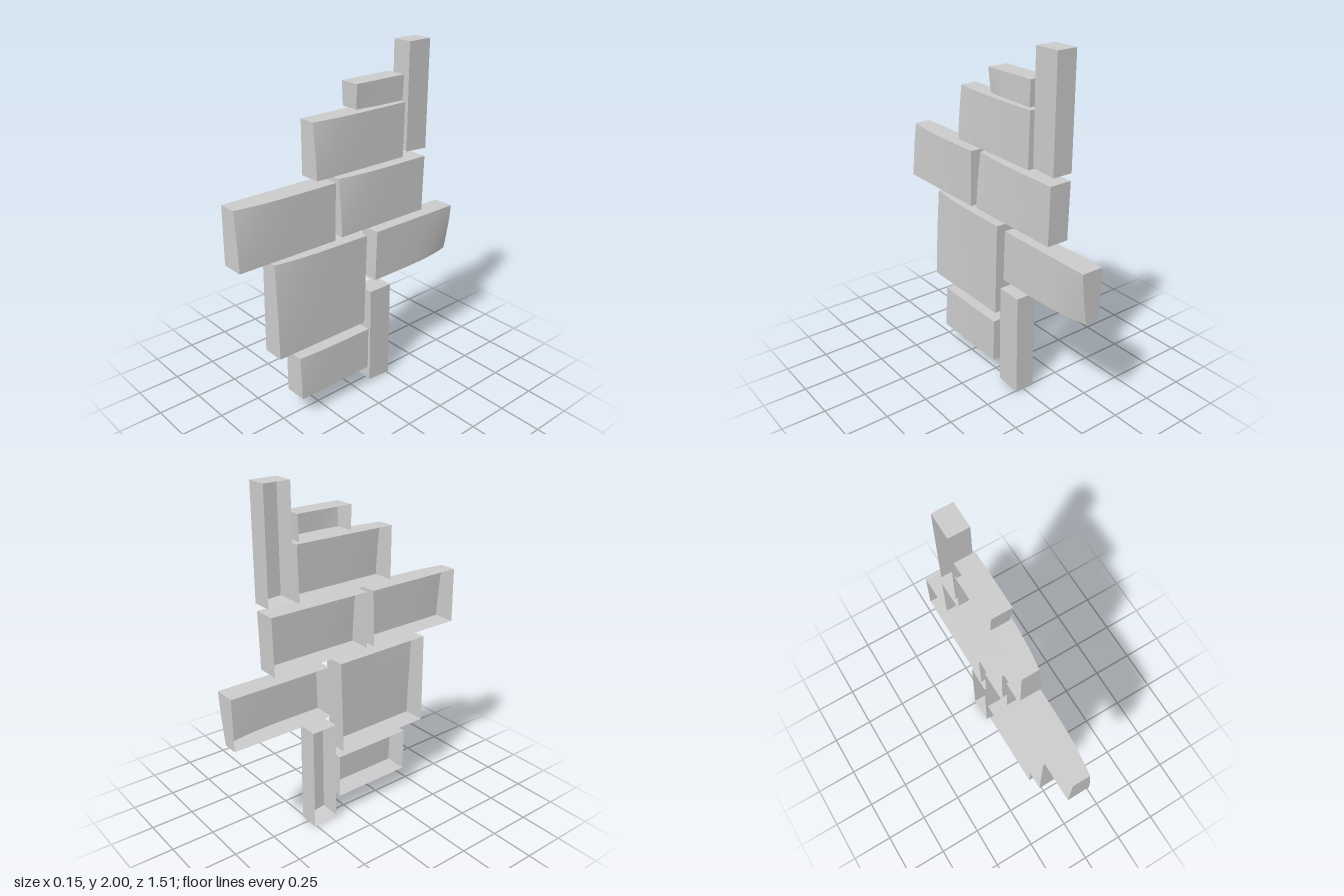
import * as THREE from 'three';

const material = new THREE.MeshStandardMaterial({ color: 0xcccccc, side: THREE.DoubleSide });
const lerp = THREE.MathUtils.lerp;

// Hollow stone slab, open at the back (-x).
// corners: [z, y] of top front, top rear, bottom front, bottom rear (front = +z).
// worn: [corner z side, corner y side, depth] of the worn-down face corner.
function stone(name, corners, back, face, worn) {
  const geo = new THREE.BoxGeometry(1, 1, 1, 1, 8, 10);
  const open = geo.groups[1];
  const index = Array.from(geo.index.array);
  index.splice(open.start, open.count);
  geo.setIndex(index);
  geo.clearGroups();

  const [tf, tr, bf, br] = corners;
  const pos = geo.attributes.position;
  for (let i = 0; i < pos.count; i++) {
    const u = pos.getZ(i) + 0.5, v = pos.getY(i) + 0.5;
    const mix = k => lerp(lerp(br[k], bf[k], u), lerp(tr[k], tf[k], u), v);
    let x = back;
    if (pos.getX(i) > 0) {
      x = face;
      if (worn) {
        const a = worn[0] > 0 ? u : 1 - u, b = worn[1] > 0 ? v : 1 - v;
        x -= worn[2] * a ** 4 * b ** 1.4;
      }
    }
    pos.setXYZ(i, x, mix(1), mix(0));
  }
  geo.computeVertexNormals();
  const mesh = new THREE.Mesh(geo, material);
  mesh.name = name;
  return mesh;
}

export function createModel() {
  const group = new THREE.Group();
  group.name = 'stoneCluster';
  const stones = [
    // upper rows
    ['topUpright', [[-0.367, 2], [-0.517, 2], [-0.365, 1.4], [-0.515, 1.39]], -0.067, 0.05],
    ['topSmallStone', [[0, 1.833], [-0.332, 1.833], [-0.006, 1.7], [-0.325, 1.695]], -0.067, 0.048, [1, -1, 0.01]],
    ['upperStone', [[0.27, 1.683], [-0.34, 1.685], [0.27, 1.383], [-0.332, 1.378]], -0.068, 0.055, [1, 1, 0.028]],
    // middle row
    ['middleFrontStone', [[0.757, 1.348], [0.148, 1.345], [0.76, 1.025], [0.156, 1.02]], -0.073, 0.056, [1, 1, 0.03]],
    ['middleRearStone', [[0.105, 1.348], [-0.505, 1.345], [0.107, 1.025], [-0.497, 1.02]], -0.073, 0.056, [1, 1, 0.03]],
    // lower rows
    ['largeStone', [[0.532, 0.985], [-0.076, 0.978], [0.54, 0.436], [-0.06, 0.43]], -0.077, 0.052, [1, 1, 0.028]],
    ['lowerRearStone', [[-0.15, 0.978], [-0.755, 0.975], [-0.14, 0.68], [-0.753, 0.68]], -0.07, 0.056, [-1, -1, 0.04]],
    ['bottomStone', [[0.415, 0.39], [-0.075, 0.388], [0.415, 0.13], [-0.072, 0.128]], -0.06, 0.073, [1, 1, 0.012]],
    ['bottomUpright', [[-0.108, 0.612], [-0.26, 0.61], [-0.108, 0.015], [-0.26, 0]], -0.067, 0.053],
  ];
  for (const s of stones) group.add(stone(...s));
  return group;
}
